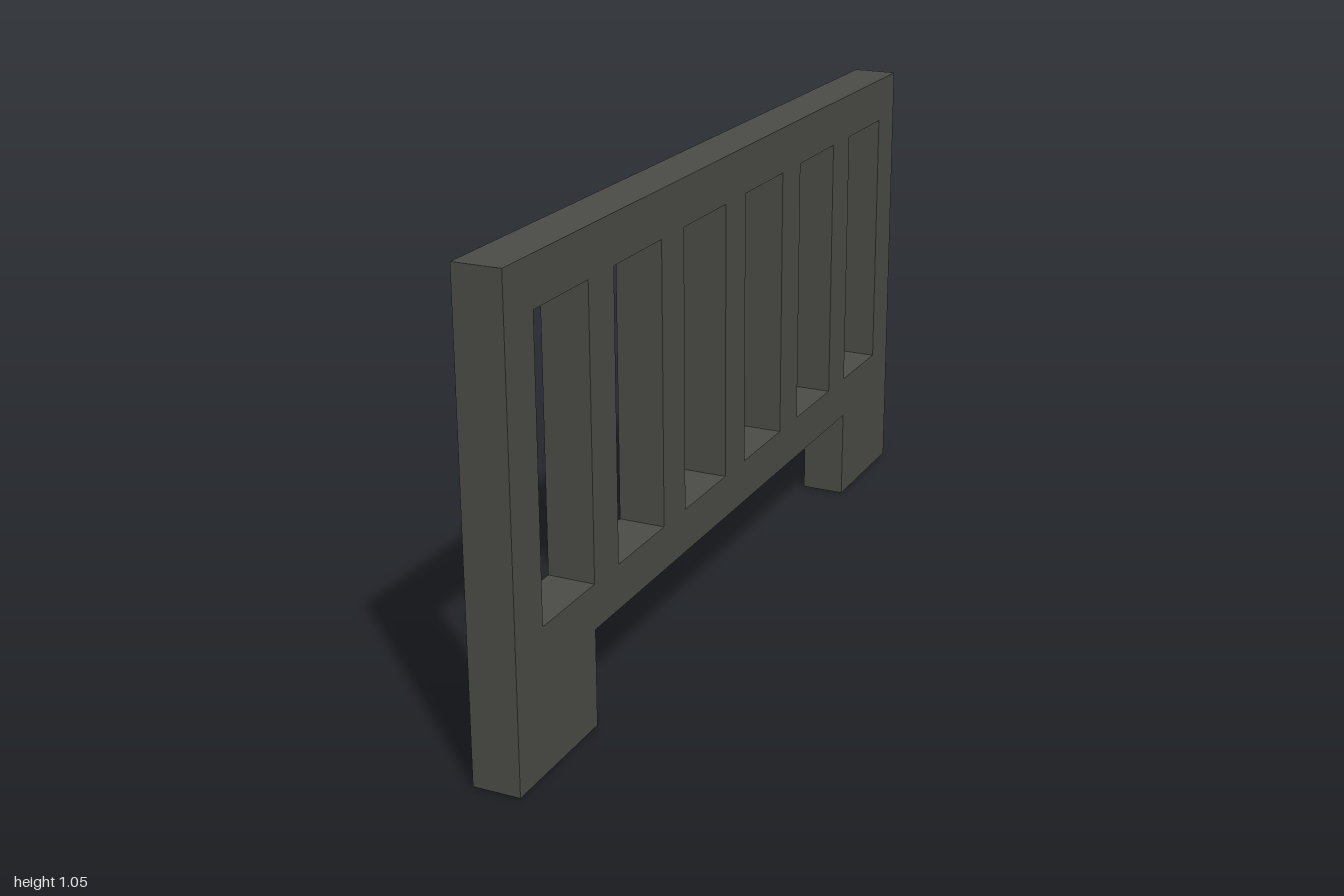
import * as THREE from 'three';

// The fence is laid out on a square module, 19 long, 10 high and 1 thick
const U = 2 / 19;

function addRect(path, x0, y0, x1, y1) {
  path.moveTo(x0 * U, y0 * U);
  path.lineTo(x0 * U, y1 * U);
  path.lineTo(x1 * U, y1 * U);
  path.lineTo(x1 * U, y0 * U);
  path.closePath();
  return path;
}

export function createModel() {
  const group = new THREE.Group();
  group.name = 'fence';
  const darkGrey = new THREE.MeshStandardMaterial({ color: 0x4c4c47 });
  darkGrey.name = 'darkGrey';

  // Outline: two wide feet with a raised span between them
  const outline = [[-9.5, 0], [-6.5, 0], [-6.5, 2.05], [6.5, 2.05], [6.5, 0], [9.5, 0], [9.5, 10], [-9.5, 10]];
  const shape = new THREE.Shape(outline.map(([x, y]) => new THREE.Vector2(x * U, y * U)));

  // Six openings leave the upright bars between them
  for (let i = 0; i < 6; i++) {
    const x = -8.5 + i * 3;
    shape.holes.push(addRect(new THREE.Path(), x, 3, x + 2, 9));
  }

  // Extrude through the thickness, then turn the length along z
  const geometry = new THREE.ExtrudeGeometry(shape, { depth: U, bevelEnabled: false });
  geometry.translate(0, 0, -U / 2);
  geometry.rotateY(Math.PI / 2);

  const panel = new THREE.Mesh(geometry, darkGrey);
  panel.name = 'barredPanel';
  group.add(panel);
  return group;
}
